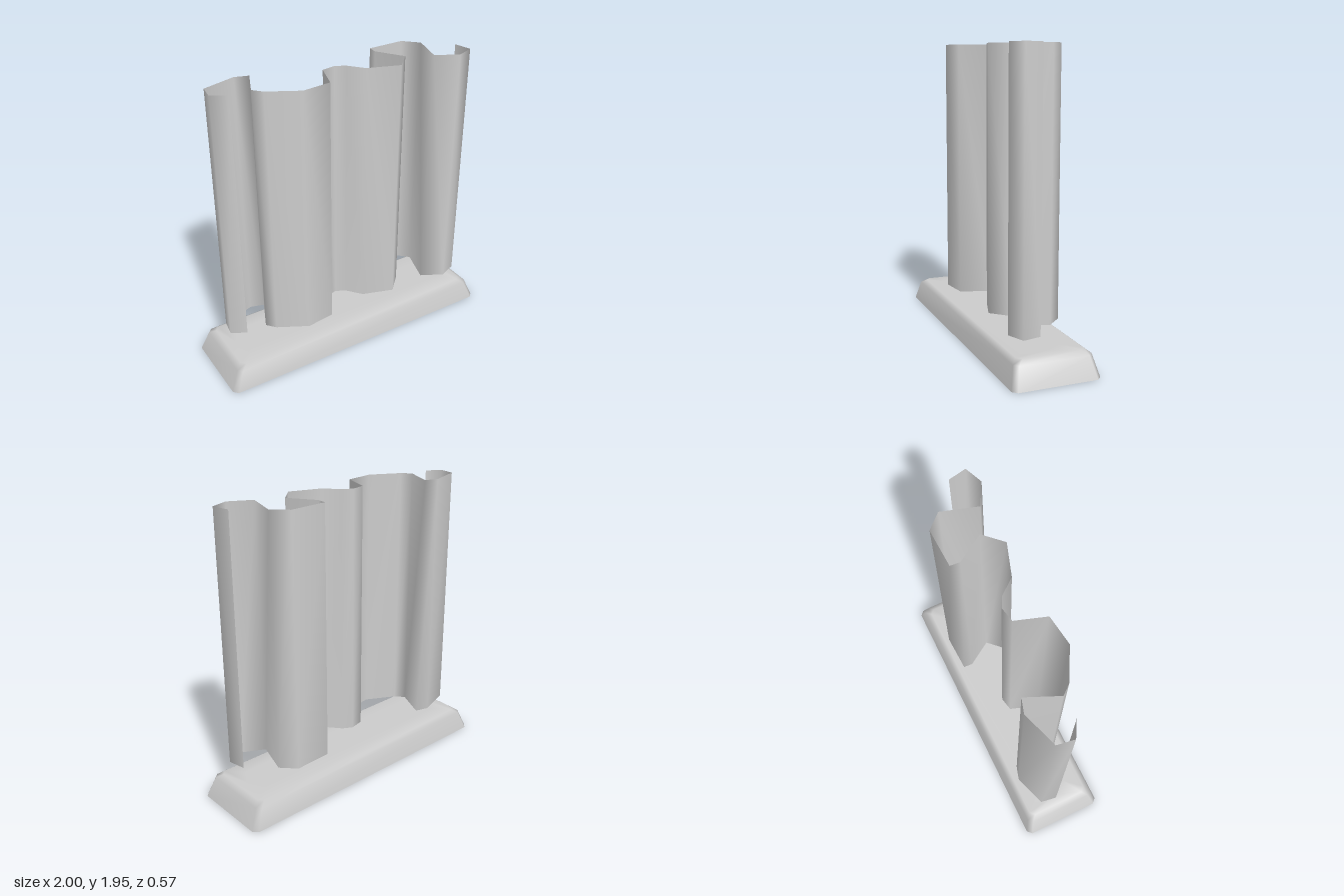
import * as THREE from 'three';

const grey = new THREE.MeshStandardMaterial({ color: 0xcccccc, side: THREE.DoubleSide });
grey.name = 'light grey';

function buildMesh(name, positions, index) {
  const g = new THREE.BufferGeometry();
  g.setAttribute('position', new THREE.Float32BufferAttribute(positions, 3));
  g.setIndex(index);
  g.computeVertexNormals();
  const mesh = new THREE.Mesh(g, grey);
  mesh.name = name;
  return mesh;
}

// Mirrors one corner's two points into a ring of eight, running from +x towards +z
function ring(y, [ax, az], [bx, bz]) {
  return [
    [ax, y, az], [bx, y, bz], [-bx, y, bz], [-ax, y, az],
    [-ax, y, -az], [-bx, y, -bz], [bx, y, -bz], [ax, y, -az],
  ];
}

// Thin folded sheet, extruded straight up from a plan path [x, z]
function createCurtain() {
  const path = [
    [-0.775, 0.045], [-0.873, -0.01], [-0.855, -0.12], [-0.635, -0.193],
    [-0.545, -0.165], [-0.635, 0.04], [-0.585, 0.1], [-0.39, 0.205],
    [-0.195, 0.18], [-0.13, -0.015], [-0.035, -0.035], [0.03, 0],
    [0.11, 0.1], [0.32, 0.17], [0.432, 0.055], [0.32, -0.12],
    [0.325, -0.185], [0.58, -0.195], [0.67, -0.1], [0.597, 0.135],
    [0.745, 0.213], [0.865, 0.165], [0.84, 0.045],
  ];
  const positions = [], index = [];
  path.forEach(([x, z], i) => {
    positions.push(x, 0.25, z, x, 1.95, z);
    const a = i * 2;
    if (i < path.length - 1) index.push(a, a + 2, a + 1, a + 1, a + 2, a + 3);
  });
  return buildMesh('foldedCurtain', positions, index);
}

// Hollow sloped plinth, open underneath, closing in to a six-sided inset
function createBase() {
  const rings = [
    ring(0, [1, 0.255], [0.97, 0.285]),
    ring(0.135, [0.945, 0.225], [0.915, 0.254]),
    ring(0.16, [0.905, 0.19], [0.875, 0.22]),
    ring(0.16, [0.84, 0], [0.78, 0.11]),
  ];
  const index = [];
  for (let r = 0; r < rings.length - 1; r++) {
    for (let i = 0; i < 8; i++) {
      const a = r * 8 + i, b = r * 8 + (i + 1) % 8;
      if (i !== 3 && i !== 7 || r < 2) index.push(a, a + 8, b, b, a + 8, b + 8);
      else index.push(a, a + 8, b); // both inset points meet at the tip
    }
  }
  return buildMesh('base', rings.flat(2), index);
}

// Six-sided flat inset in the top of the plinth
function createInset() {
  const corners = [[0.84, 0], [0.78, 0.11], [-0.78, 0.11], [-0.84, 0], [-0.78, -0.11], [0.78, -0.11]];
  const shape = new THREE.Shape(corners.map(([x, y]) => new THREE.Vector2(x, y)));
  const mesh = new THREE.Mesh(new THREE.ShapeGeometry(shape).rotateX(-Math.PI / 2), grey);
  mesh.name = 'baseInset';
  mesh.position.y = 0.16;
  return mesh;
}

export function createModel() {
  const group = new THREE.Group();
  group.name = 'foldedScreenOnBase';
  group.add(createBase(), createInset(), createCurtain());
  return group;
}
